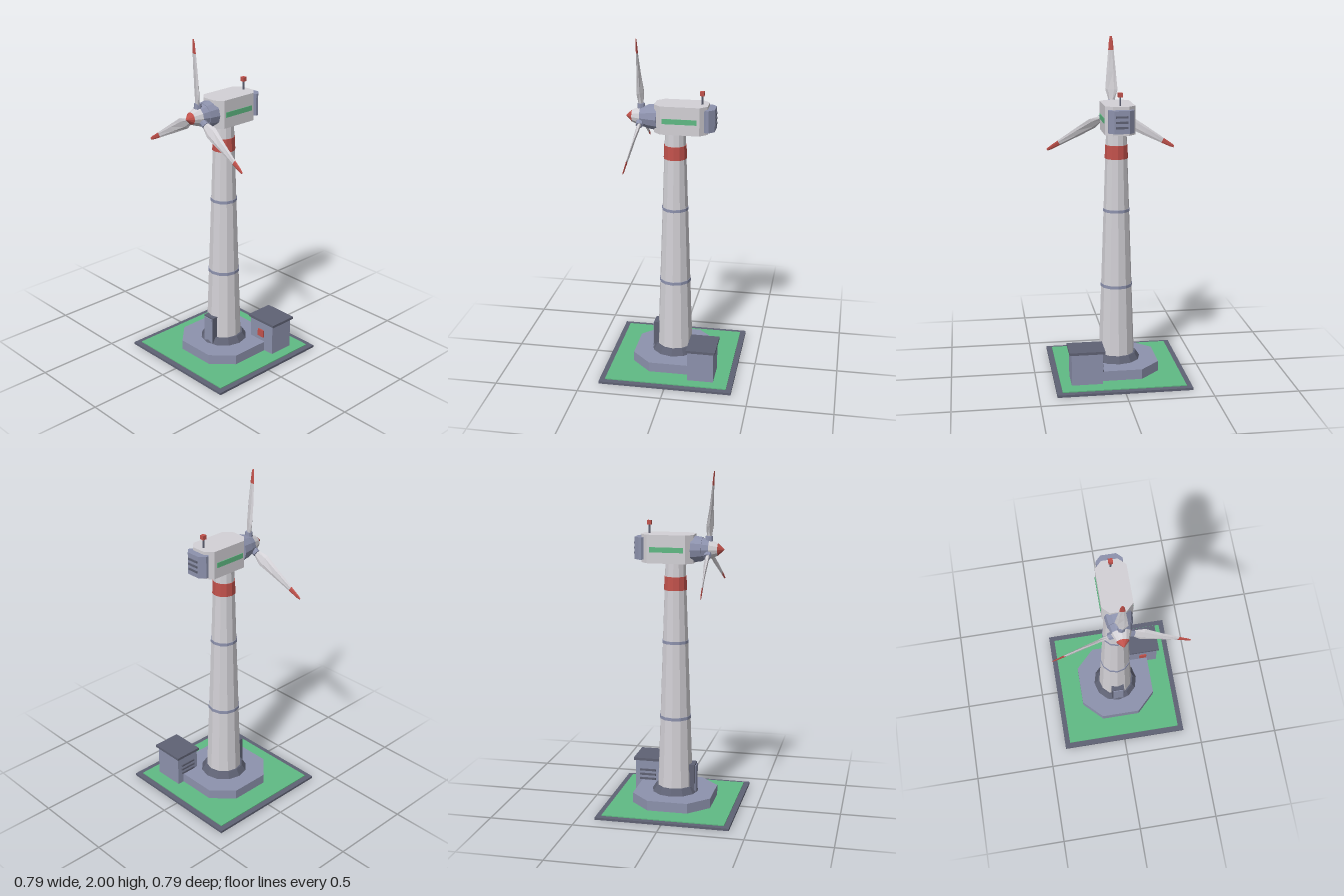
import * as THREE from 'three';

const mat = (name, color) => {
  const m = new THREE.MeshStandardMaterial({ color });
  m.name = name;
  return m;
};

export function createModel() {
  const root = new THREE.Group();
  root.name = 'windTurbine';
  const light = mat('light grey', 0xd3d1d6);
  const steel = mat('blue grey', 0x8d92ad);
  const dark = mat('dark slate', 0x5f6274);
  const green = mat('grass green', 0x60ba84);
  const red = mat('signal red', 0xc2524c);

  // Adds a faceted mesh
  const add = (name, geo, material, x = 0, y = 0, z = 0, parent = root) => {
    const g = geo.index ? geo.toNonIndexed() : geo;
    g.computeVertexNormals();
    const m = new THREE.Mesh(g, material);
    m.name = name;
    m.position.set(x, y, z);
    parent.add(m);
    return m;
  };
  const box = (name, w, h, d, material, x, y, z) =>
    add(name, new THREE.BoxGeometry(w, h, d), material, x, y, z);
  // Upright frustum between two heights
  const frustum = (name, r0, r1, y0, y1, material, sides = 12) =>
    add(name, new THREE.CylinderGeometry(r1, r0, y1 - y0, sides), material, 0, (y0 + y1) / 2, 0);
  // Upright block with chamfered plan corners
  const chamfered = (w, d, c, h) => {
    const a = w / 2, b = d / 2;
    const pts = [[a, -b + c], [a, b - c], [a - c, b], [-a + c, b],
      [-a, b - c], [-a, -b + c], [-a + c, -b], [a - c, -b]];
    const shape = new THREE.Shape(pts.map(p => new THREE.Vector2(...p)));
    return new THREE.ExtrudeGeometry(shape, { depth: h, bevelEnabled: false }).rotateX(-Math.PI / 2);
  };

  // Ground and foundation
  box('groundSlab', 0.794, 0.014, 0.794, dark, 0, 0.007, 0);
  box('lawn', 0.728, 0.008, 0.728, green, 0, 0.016, 0);
  add('foundation', chamfered(0.474, 0.474, 0.117, 0.06), steel, 0, 0.02, 0);
  frustum('towerCollar', 0.141, 0.117, 0.08, 0.118, dark);

  // Tapered tower with joint rings and a warning band
  const radiusAt = y => 0.107 - (y - 0.118) * 0.0345;
  frustum('tower', radiusAt(0.118), radiusAt(1.48), 0.118, 1.48, light);
  const band = (name, y0, y1, material) =>
    frustum(name, radiusAt(y0) + 0.003, radiusAt(y1) + 0.003, y0, y1, material);
  band('lowerRing', 0.535, 0.553, steel);
  band('upperRing', 0.995, 1.012, steel);
  band('warningBand', 1.312, 1.392, red);

  // Tower door
  box('doorFrame', 0.08, 0.174, 0.06, dark, 0, 0.167, 0.096);
  box('door', 0.066, 0.164, 0.006, steel, 0, 0.162, 0.128);

  // Equipment shed
  box('shed', 0.184, 0.19, 0.156, steel, 0.21, 0.115, -0.201);
  box('shedRoof', 0.21, 0.016, 0.173, dark, 0.21, 0.216, -0.203);
  box('shedSign', 0.046, 0.046, 0.009, red, 0.208, 0.132, -0.119);
  for (let i = 0; i < 3; i++)
    box('shedVent', 0.008, 0.012, 0.1, dark, 0.115, 0.09 + i * 0.028, -0.201);

  // Nacelle
  add('nacelle', chamfered(0.174, 0.308, 0.041, 0.165), light, 0, 1.473, -0.039);
  for (const s of [-1, 1])
    box('sideStripe', 0.006, 0.03, 0.2, green, s * 0.088, 1.552, -0.036);
  add('rearCooler', chamfered(0.148, 0.078, 0.031, 0.13), steel, 0, 1.49, -0.195);
  for (let i = -1; i <= 1; i++)
    box('coolerSlat', 0.07, 0.012, 0.006, dark, 0, 1.555 + i * 0.03, -0.236);

  // Warning beacon
  add('beaconMast', new THREE.CylinderGeometry(0.005, 0.006, 0.06, 6), dark, 0, 1.663, -0.155);
  box('beacon', 0.025, 0.025, 0.025, red, 0, 1.701, -0.155);

  // Rotor group, with the shaft along z
  const rotor = new THREE.Group();
  rotor.name = 'rotor';
  rotor.position.y = 1.553;
  root.add(rotor);
  const shaft = (name, r0, r1, z0, z1, material) =>
    add(name, new THREE.CylinderGeometry(r1, r0, z1 - z0, 12).rotateX(Math.PI / 2),
      material, 0, 0, (z0 + z1) / 2, rotor);
  shaft('rotorNeck', 0.079, 0.07, 0.1, 0.162, steel);
  shaft('hub', 0.066, 0.056, 0.162, 0.202, steel);
  shaft('spinner', 0.056, 0.036, 0.202, 0.251, light);
  shaft('spinnerTip', 0.036, 0.002, 0.251, 0.287, red);

  // Blade lofted from six-sided sections: [radius, half chord, half thickness, twist, z]
  const loft = sections => {
    const n = 6, pos = [], idx = [];
    for (const [r, chord, thick, twist, z] of sections) {
      for (let j = 0; j < n; j++) {
        const a = (j / n) * Math.PI * 2;
        const u = Math.cos(a) * chord, v = Math.sin(a) * thick;
        pos.push(u * Math.cos(twist) - v * Math.sin(twist), r,
          z + u * Math.sin(twist) + v * Math.cos(twist));
      }
    }
    for (let i = 0; i < sections.length - 1; i++) {
      for (let j = 0; j < n; j++) {
        const a = i * n + j, b = i * n + (j + 1) % n;
        idx.push(a, a + n, b, b, a + n, b + n);
      }
    }
    const top = (sections.length - 1) * n;
    for (let j = 1; j < n - 1; j++) idx.push(0, j, j + 1, top, top + j + 1, top + j);
    const g = new THREE.BufferGeometry();
    g.setAttribute('position', new THREE.Float32BufferAttribute(pos, 3));
    g.setIndex(idx);
    return g;
  };
  const seam = [0.365, 0.0165, 0.004, 0.14, 0.22];
  const bladeSections = [
    [0.04, 0.016, 0.014, 0.5, 0.198],
    [0.075, 0.02, 0.012, 0.48, 0.2],
    [0.135, 0.038, 0.01, 0.42, 0.203],
    [0.24, 0.028, 0.007, 0.26, 0.211],
    seam,
  ];
  const tipSections = [seam, [0.425, 0.011, 0.003, 0.1, 0.224], [0.447, 0.006, 0.002, 0.08, 0.226]];
  for (let i = 0; i < 3; i++) {
    const arm = new THREE.Group();
    arm.name = 'bladeAssembly';
    arm.rotation.z = (i * Math.PI * 2) / 3;
    rotor.add(arm);
    add('bladeRoot', new THREE.CylinderGeometry(0.021, 0.024, 0.04, 8), steel, 0, 0.057, 0.198, arm);
    add('blade', loft(bladeSections), light, 0, 0, 0, arm);
    add('bladeTip', loft(tipSections), red, 0, 0, 0, arm);
  }
  return root;
}
